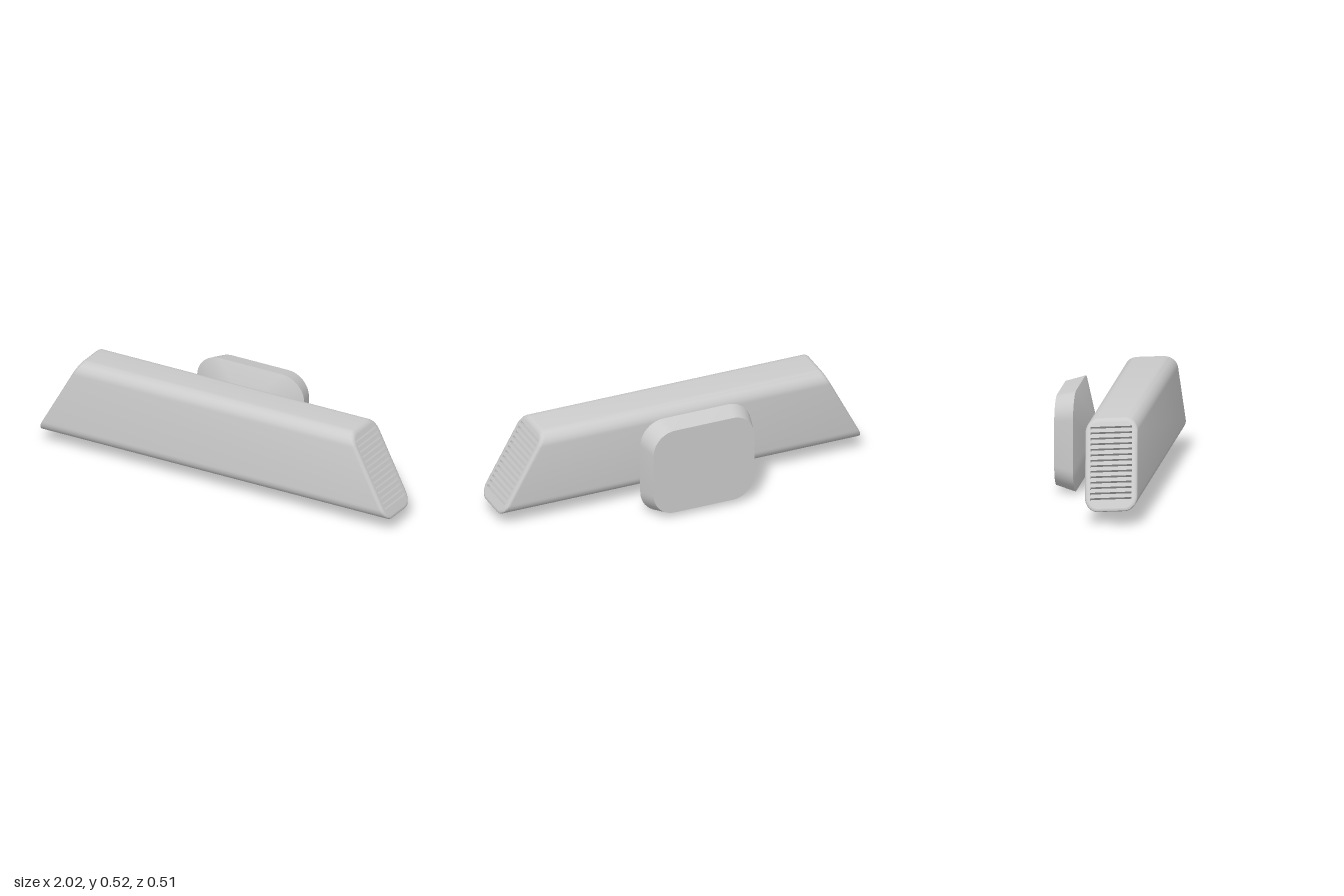
import * as THREE from 'three';
import { toCreasedNormals } from 'three/addons/utils/BufferGeometryUtils.js';

const grey = new THREE.MeshStandardMaterial({ color: 0xcccccc });

function mesh(geometry, name) {
  const m = new THREE.Mesh(geometry, grey);
  m.name = name;
  return m;
}

// Counter-clockwise rounded rectangle
function outline(halfW, halfH, r, steps = 10) {
  const pts = [];
  [[1, 1], [-1, 1], [-1, -1], [1, -1]].forEach(([sx, sy], q) => {
    for (let i = 0; i <= steps; i++) {
      const a = (q + i / steps) * Math.PI / 2;
      pts.push(new THREE.Vector2(sx * (halfW - r) + r * Math.cos(a), sy * (halfH - r) + r * Math.sin(a)));
    }
  });
  return pts;
}

// Skin through a list of cross-sections, optionally closed at both ends
function loft(rings, capped) {
  const n = rings[0].length, pos = [], idx = [];
  rings.forEach(ring => ring.forEach(p => pos.push(p.x, p.y, p.z)));
  for (let k = 0; k < rings.length - 1; k++) {
    for (let i = 0; i < n; i++) {
      const a = k * n + i, b = k * n + (i + 1) % n;
      idx.push(a, b, b + n, a, b + n, a + n);
    }
  }
  if (capped) {
    const last = (rings.length - 1) * n;
    for (let i = 1; i < n - 1; i++) idx.push(0, i + 1, i, last, last + i, last + i + 1);
  }
  const g = new THREE.BufferGeometry();
  g.setAttribute('position', new THREE.Float32BufferAttribute(pos, 3));
  g.setIndex(idx);
  return toCreasedNormals(g, 0.5);
}

// Bar dimensions: half depth, half height, corner radius, end position, end slope, end fillet
const W = 0.135, H = 0.2195, R = 0.068, X0 = 0.902, K = 0.535, F = 0.018;
const stretch = Math.hypot(1, K);

function makeBar() {
  const bar = new THREE.Group();
  bar.name = 'sensorBar';

  // Housing: rounded section, sloping ends with a small fillet
  const ring = (side, a) => {
    const inset = F * (1 - Math.cos(a)), off = F * (1 - Math.sin(a));
    return outline(W - inset, H - inset, R - inset)
      .map(p => new THREE.Vector3(side * (X0 - K * p.y - off), p.y, p.x));
  };
  const rings = [];
  for (let i = 4; i >= 0; i--) rings.push(ring(1, i * Math.PI / 8));
  for (let i = 0; i <= 4; i++) rings.push(ring(-1, i * Math.PI / 8));
  bar.add(mesh(loft(rings, false), 'housing'));

  // Vented ends
  for (const side of [1, -1]) {
    const end = new THREE.Group();
    end.name = side > 0 ? 'leftVent' : 'rightVent';
    end.rotation.y = side > 0 ? 0 : Math.PI;
    end.add(makeVent());
    bar.add(end);
  }

  // Round feet under the bar
  for (const x of [-0.46, -0.1, 0.07]) {
    const foot = mesh(new THREE.CylinderGeometry(0.065, 0.062, 0.008, 32), 'roundFoot');
    foot.position.set(x, -H, 0);
    bar.add(foot);
  }
  return bar;
}

// Sloping end face with a stack of slots cut square to it
function makeVent() {
  const vent = new THREE.Group();
  vent.name = 'ventFace';
  vent.position.x = X0;
  vent.rotation.set(0, Math.PI / 2, Math.atan(K), 'ZYX');
  const shape = new THREE.Shape(outline(W - F, H - F, R - F)
    .map(p => new THREE.Vector2(p.x, p.y * stretch)));
  const w = 0.106, h = 0.0055 * stretch, depth = 0.03;

  // Slot lining: a box turned inside out, open at its outer face
  const lining = new THREE.BoxGeometry(2 * w, 2 * h, depth);
  lining.setIndex(Array.from(lining.index.array).filter((_, i) => i < 24 || i >= 30).reverse());
  const normals = lining.attributes.normal.array;
  for (let i = 0; i < normals.length; i++) normals[i] *= -1;

  for (let i = 0; i < 14; i++) {
    const y = (0.176 - i * 0.0256) * stretch;
    shape.holes.push(new THREE.Path([[-w, -h], [-w, h], [w, h], [w, -h]]
      .map(([a, b]) => new THREE.Vector2(a, y + b))));
    const slot = mesh(lining, 'slot');
    slot.position.set(0, y, -depth / 2);
    vent.add(slot);
  }
  vent.add(mesh(new THREE.ShapeGeometry(shape), 'endPlate'));
  return vent;
}

export function createModel() {
  const model = new THREE.Group();
  model.name = 'wallMountedSensorBar';

  // Bar, leaning back slightly
  const bar = makeBar();
  bar.position.set(0, 0.289, 0.113);
  bar.rotation.x = -0.06;
  model.add(bar);

  // Mounting base: z, half width, half height, corner radius
  const sections = [
    [-0.257, 0.282, 0.234, 0.12],
    [-0.157, 0.31, 0.261, 0.13],
    [-0.085, 0.095, 0.082, 0.08],
  ];
  const base = mesh(loft(sections.map(([z, w, h, r]) =>
    outline(w, h, r).map(p => new THREE.Vector3(p.x, p.y, z))), true), 'mountBase');
  base.position.y = 0.261;
  model.add(base);

  // Neck with a flared collar joining bar and base
  const neckPart = (rFront, rBack, zFront, zBack, y, name) => {
    const part = mesh(new THREE.CylinderGeometry(rFront, rBack, zFront - zBack, 32), name);
    part.rotation.x = Math.PI / 2 - 0.03;
    part.position.set(0, y, (zFront + zBack) / 2);
    model.add(part);
  };
  neckPart(0.033, 0.033, 0.02, -0.09, 0.268, 'neck');
  neckPart(0.033, 0.052, -0.066, -0.088, 0.265, 'collar');
  return model;
}
